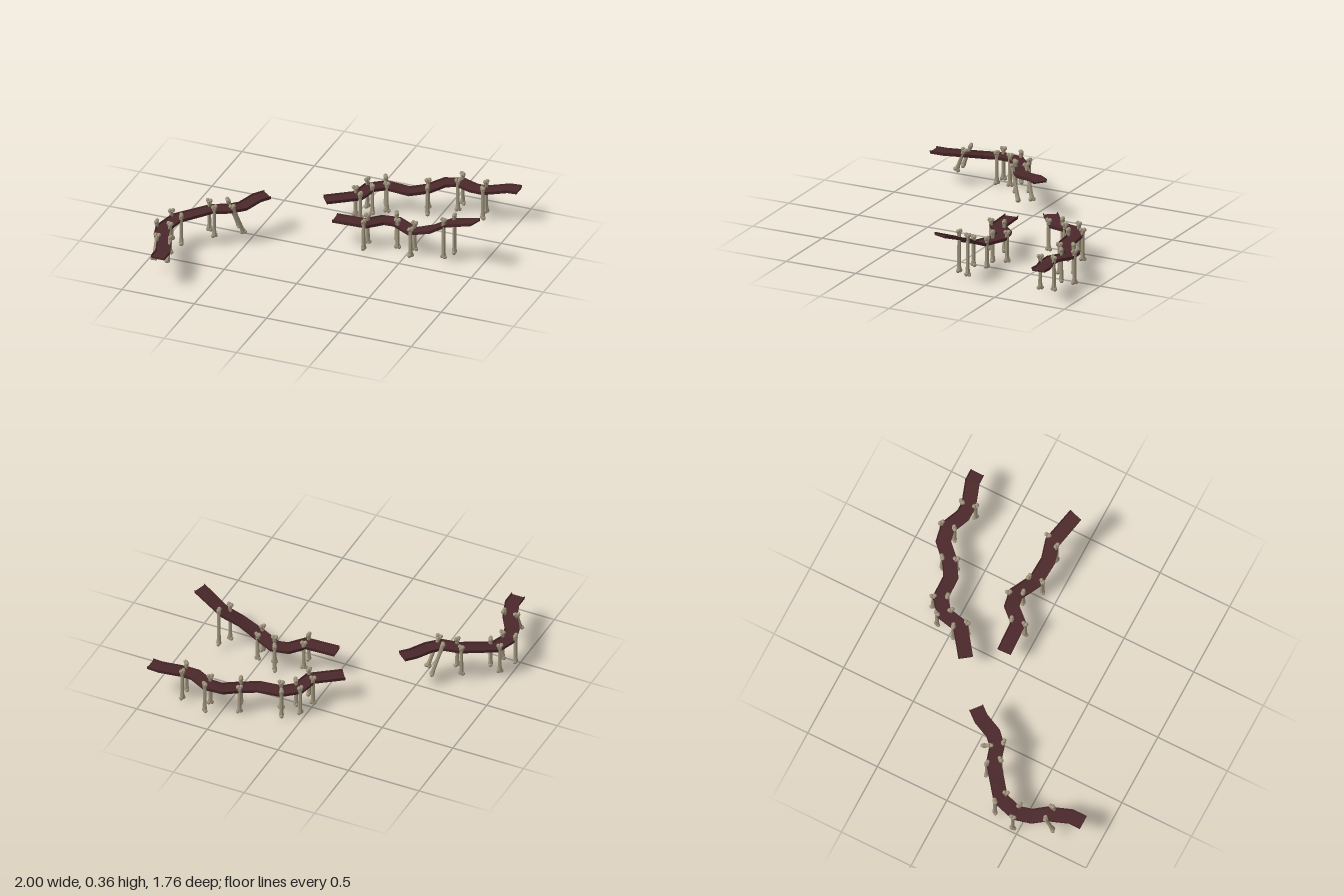
import * as THREE from 'three';
import { mergeGeometries } from 'three/addons/utils/BufferGeometryUtils.js';

const railMat = new THREE.MeshStandardMaterial({ color: 0x4a282a, flatShading: true });
const boneMat = new THREE.MeshStandardMaterial({ color: 0xa0957e, flatShading: true });
const V = (x, y, z) => new THREE.Vector3(x, y, z);
const mirrorPairs = half => [...half, ...half.map(([x, y]) => [-x, y]).reverse()];

// Shallow trough cross-section, counter-clockwise
const profile = mirrorPairs([[0.045, -0.011], [0.048, 0.011], [0.044, 0.011], [0.041, 0.001]])
  .map(p => new THREE.Vector2(...p));

// Sweep the trough along a path with mitred corners and closed ends
function troughGeometry(pts) {
  const last = pts.length - 1;
  const dir = i => pts[i + 1].clone().sub(pts[i]).setY(0).normalize();
  const rings = pts.map((p, i) => {
    const next = dir(Math.min(i, last - 1));
    const t = dir(Math.max(i - 1, 0)).add(next).normalize();
    const side = V(t.z, 0, -t.x).divideScalar(t.dot(next));
    return profile.map(q => p.clone().addScaledVector(side, q.x).add(V(0, q.y, 0)));
  });
  const out = [];
  const tri = (...vs) => vs.forEach(v => out.push(v.x, v.y, v.z));
  for (let i = 0; i < last; i++) {
    for (let j = 0; j < profile.length; j++) {
      const k = (j + 1) % profile.length;
      tri(rings[i][j], rings[i][k], rings[i + 1][k]);
      tri(rings[i][j], rings[i + 1][k], rings[i + 1][j]);
    }
  }
  const start = rings[0], end = rings[last];
  THREE.ShapeUtils.triangulateShape(profile, []).forEach(([a, b, c]) => {
    tri(end[a], end[b], end[c]);
    tri(start[c], start[b], start[a]);
  });
  const g = new THREE.BufferGeometry();
  g.setAttribute('position', new THREE.Float32BufferAttribute(out, 3));
  g.computeVertexNormals();
  return g;
}

// Waisted shaft with two lobes at each end
function boneGeometry(length) {
  const h = length / 2;
  const shaft = [[0, 0.008 - h], [0.017, 0.018 - h], [0.013, 0.05 - h],
    [0.012, h - 0.05], [0.016, h - 0.018], [0, h - 0.008]].map(p => new THREE.Vector2(...p));
  const parts = [new THREE.LatheGeometry(shaft, 7)];
  for (const end of [-1, 1]) {
    for (const side of [-1, 1]) {
      const lobe = new THREE.SphereGeometry(0.0142, 7, 5);
      lobe.translate(side * 0.0105, end * (h - 0.0135), 0);
      parts.push(lobe);
    }
  }
  return mergeGeometries(parts);
}

function bone(top, foot, yaw) {
  const axis = top.clone().sub(foot);
  const mesh = new THREE.Mesh(boneGeometry(axis.length()), boneMat);
  mesh.name = 'boneSupport';
  mesh.position.copy(top).add(foot).multiplyScalar(0.5);
  mesh.quaternion.setFromUnitVectors(V(0, 1, 0), axis.normalize());
  mesh.rotateY(yaw);
  return mesh;
}

// A trough carried by pairs of bones.
// Each pair: path point, direction across the trough in degrees, foot height, lean of the feet in x and z
function track(name, path, pairs) {
  const pts = path.map(p => V(...p));
  const group = new THREE.Group();
  group.name = name;
  const deck = new THREE.Mesh(troughGeometry(pts), railMat);
  deck.name = 'trough';
  group.add(deck);
  for (const [i, degrees, footY, leanX = 0, leanZ = 0] of pairs) {
    const a = THREE.MathUtils.degToRad(degrees);
    for (const s of [-0.046, 0.046]) {
      const top = pts[i].clone().add(V(Math.cos(a) * s, 0.053, Math.sin(a) * s));
      const foot = V(top.x + leanX, footY, top.z + leanZ);
      group.add(bone(top, foot, i * 0.9 + s * 13));
    }
  }
  return group;
}

export function createModel() {
  const model = new THREE.Group();
  model.name = 'raisedTracks';

  model.add(track('backTrack', [
    [-0.138, 0.175, -0.311], [0.035, 0.175, -0.438], [0.063, 0.175, -0.57], [0.148, 0.173, -0.64],
    [0.305, 0.16, -0.645], [0.406, 0.167, -0.709], [0.49, 0.188, -0.795], [0.588, 0.2, -0.813],
    [0.7, 0.207, -0.762], [0.777, 0.207, -0.761], [0.925, 0.228, -0.81], [0.995, 0.232, -0.81],
  ], [[1, 48, 0.005], [2, 47, 0.005], [3, 63, 0.002], [5, 70, 0], [7, 87, 0.015], [9, 81, 0.02]]));

  model.add(track('middleTrack', [
    [0.01, 0.174, -0.108], [0.222, 0.174, -0.118], [0.305, 0.17, -0.208], [0.395, 0.167, -0.224],
    [0.532, 0.163, -0.153], [0.674, 0.217, -0.136], [0.78, 0.272, -0.161], [0.988, 0.352, -0.099],
  ], [[1, 84, 0.005], [3, 64, 0], [4, 84, 0], [6, 116, 0.03]]));

  model.add(track('frontTrack', [
    [-0.44, 0.264, -0.08], [-0.49, 0.26, -0.02], [-0.54, 0.246, 0.094], [-0.607, 0.246, 0.158],
    [-0.715, 0.237, 0.189], [-0.9, 0.204, 0.334], [-0.936, 0.193, 0.464], [-0.91, 0.192, 0.564],
    [-0.853, 0.205, 0.65], [-0.803, 0.21, 0.79], [-0.803, 0.21, 0.877],
  ], [[3, 49, 0.065, 0.055, -0.075], [4, 47, 0.055], [5, 24, 0.028], [6, 0, 0.015],
    [8, 0, 0.09, 0, 0.065]]));

  return model;
}
